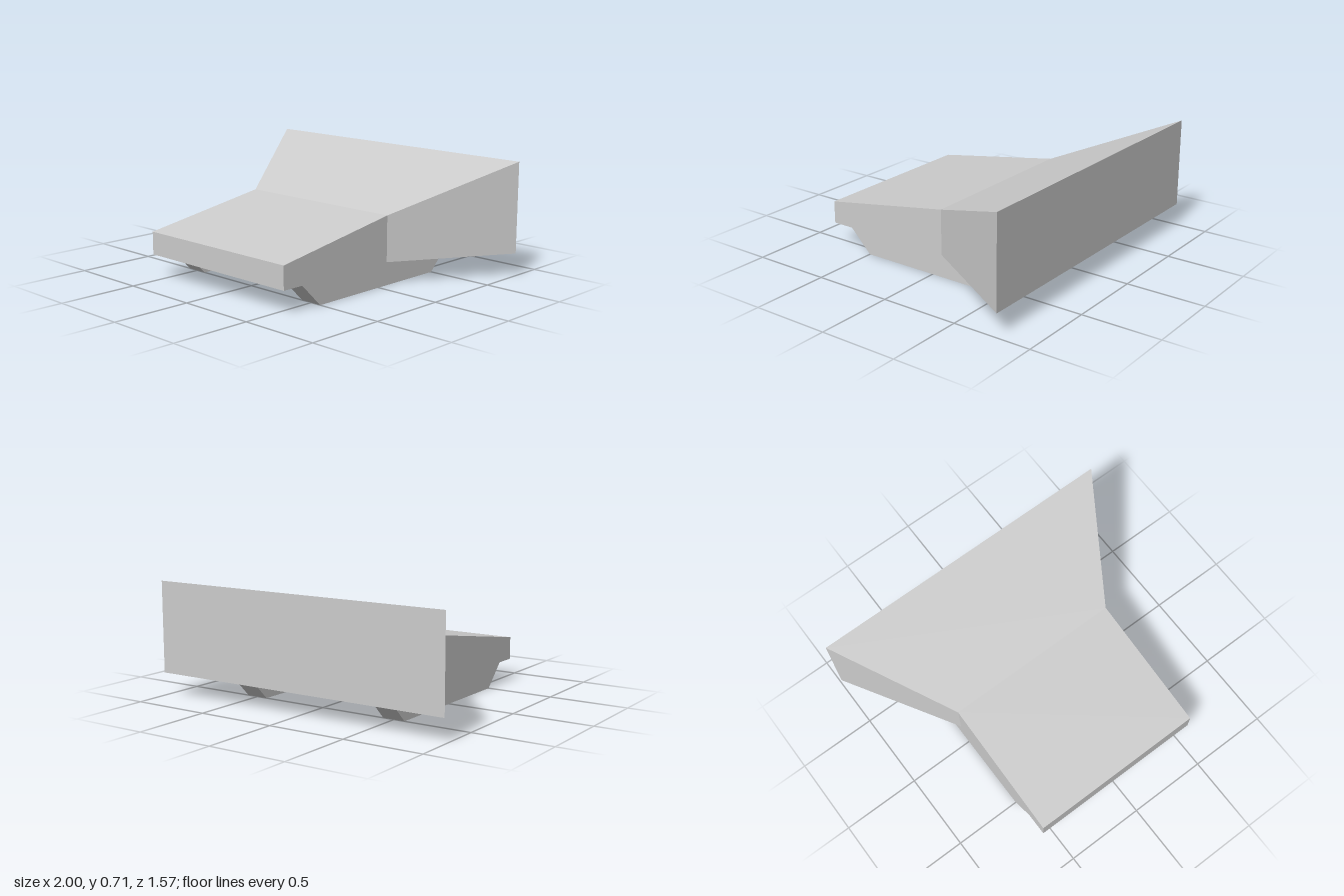
import * as THREE from 'three';

const U = 1 / 7; // all dimensions sit on a grid of sevenths

// Loft rectangular sections (listed front to back) into a closed flat-faced solid
function loftSections(sections) {
  const rings = sections.map(({ z, halfWidth: w, bottom, top }) =>
    [[w, bottom, z], [w, top, z], [-w, top, z], [-w, bottom, z]]);
  const positions = [];
  const quad = (a, b, c, d) => positions.push(...a, ...b, ...c, ...a, ...c, ...d);

  quad(...rings[0]);
  for (let s = 0; s < rings.length - 1; s++) {
    const front = rings[s], back = rings[s + 1];
    for (let i = 0; i < 4; i++) {
      const j = (i + 1) % 4;
      quad(front[i], back[i], back[j], front[j]);
    }
  }
  quad(...[...rings[rings.length - 1]].reverse());

  const geometry = new THREE.BufferGeometry();
  geometry.setAttribute('position', new THREE.Float32BufferAttribute(positions, 3));
  geometry.scale(U, U, U);
  geometry.computeVertexNormals();
  return geometry;
}

export function createModel() {
  const model = new THREE.Group();
  model.name = 'flaredWedge';
  const material = new THREE.MeshStandardMaterial({ color: 0xcccccc, flatShading: true });

  // Sloping body: straight deck in front, flaring wider and steeper at the back
  const body = new THREE.Mesh(loftSections([
    { z: 5.5, halfWidth: 4, bottom: 1, top: 2 },
    { z: -0.5, halfWidth: 4, bottom: 1, top: 3 },
    { z: -5.5, halfWidth: 7, bottom: 1, top: 5 },
  ]), material);
  body.name = 'body';
  model.add(body);

  // Two runners underneath with bevelled ends
  const profile = new THREE.Shape([[-4.5, 1], [-3.5, 0], [3.5, 0], [4.5, 1]]
    .map(([z, y]) => new THREE.Vector2(z * U, y * U)));
  const runnerGeometry = new THREE.ExtrudeGeometry(profile, { depth: U, bevelEnabled: false });
  runnerGeometry.translate(0, 0, -U / 2).rotateY(-Math.PI / 2);
  for (const [name, side] of [['leftRunner', 1], ['rightRunner', -1]]) {
    const runner = new THREE.Mesh(runnerGeometry, material);
    runner.name = name;
    runner.position.x = side * 3.5 * U;
    model.add(runner);
  }

  return model;
}
